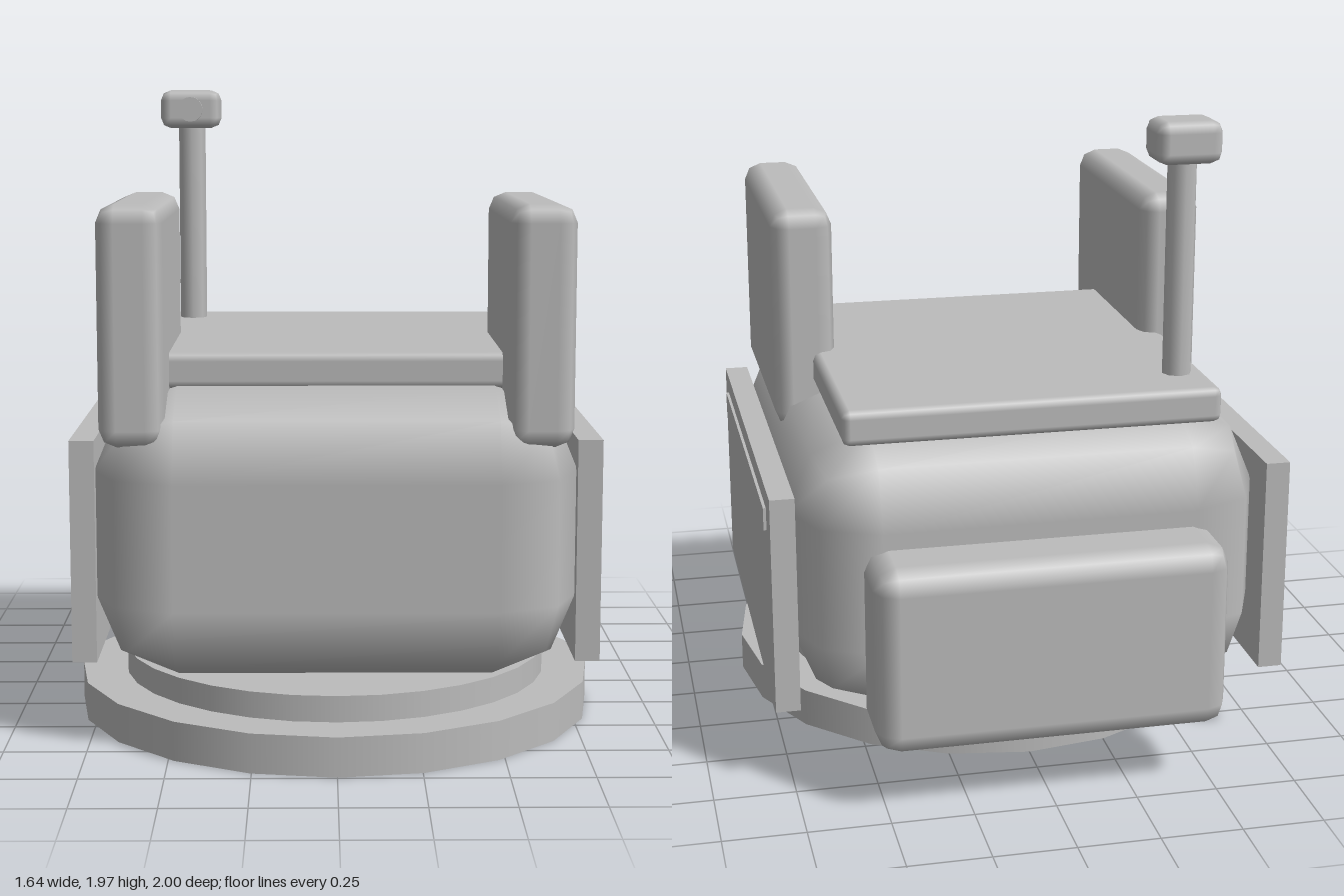
import * as THREE from 'three';
import { RoundedBoxGeometry } from 'three/addons/geometries/RoundedBoxGeometry.js';

export function createModel() {
  const model = new THREE.Group();
  const grey = new THREE.MeshStandardMaterial({ color: 0xbcbcbc });
  grey.name = 'grey';

  function add(name, geometry, x, y, z) {
    const mesh = new THREE.Mesh(geometry, grey);
    mesh.name = name;
    mesh.position.set(x, y, z);
    model.add(mesh);
    return mesh;
  }

  // Box given by its extents; a radius gives it two-step bevelled edges
  function block(name, [x0, x1], [y0, y1], [z0, z1], radius = 0) {
    const size = [x1 - x0, y1 - y0, z1 - z0];
    const geometry = radius
      ? new RoundedBoxGeometry(...size, 1, radius)
      : new THREE.BoxGeometry(...size);
    return add(name, geometry, (x0 + x1) / 2, (y0 + y1) / 2, (z0 + z1) / 2);
  }

  // Stepped turntable
  add('baseDisc', new THREE.CylinderGeometry(0.82, 0.82, 0.12, 20), 0, 0.06, 0.175);
  add('turntable', new THREE.CylinderGeometry(0.675, 0.675, 0.08, 32), 0, 0.16, 0.175);

  // Chunky hull, top plate and rear pack
  block('body', [-0.73, 0.73], [0.2, 1.08], [-0.8, 0.85], 0.25);
  block('topPlate', [-0.58, 0.58], [1.07, 1.18], [-0.705, 0.55], 0.025);
  block('rearPack', [-0.535, 0.535], [0.2, 0.78], [-1.0, -0.71], 0.07);

  // Upright pods, side panels and their raised strips, mirrored
  for (const [side, s] of [['left', 1], ['right', -1]]) {
    const span = (a, b) => (s > 0 ? [a, b] : [-b, -a]);
    block(side + 'Pod', span(0.505, 0.7), [0.925, 1.64], [-0.07, 0.8], 0.055);
    block(side + 'Panel', span(0.725, 0.8), [0.25, 0.93], [-0.71, 0.655]);
    block(side + 'PanelStrip', span(0.8, 0.809), [0.8, 0.87], [-0.61, 0.56]);
  }

  // Mast with its sensor head and the lens in front
  add('mast', new THREE.CylinderGeometry(0.046, 0.046, 0.7, 8), -0.49, 1.51, -0.51);
  block('sensorHead', [-0.595, -0.39], [1.84, 1.97], [-0.6, -0.43], 0.035);
  const lens = add('lens', new THREE.CylinderGeometry(0.042, 0.042, 0.015, 16), -0.49, 1.905, -0.405);
  lens.rotation.x = Math.PI / 2;

  return model;
}
